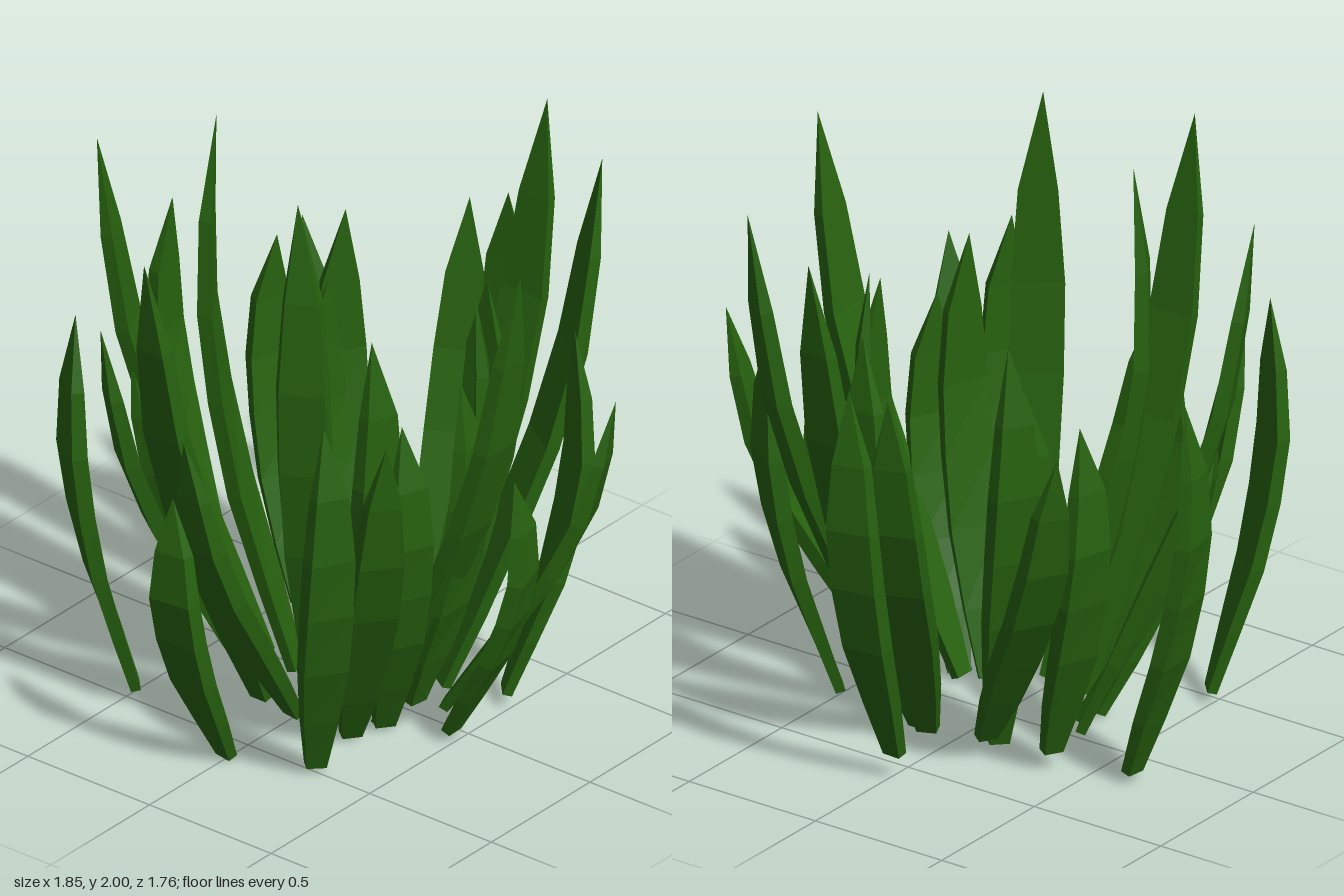
import * as THREE from 'three';

// Blade spines as [outward fraction, height fraction, width fraction]
const CURLED = [[0, 0, 0.42], [0.32, 0.15, 0.72], [0.69, 0.32, 0.95], [0.95, 0.49, 1], [1.11, 0.65, 0.97], [1.11, 0.82, 0.72], [1, 1, 0]];
const SPREAD = [[0, 0, 0.42], [0.2, 0.14, 0.75], [0.42, 0.3, 0.95], [0.64, 0.46, 1], [0.82, 0.64, 0.95], [0.92, 0.82, 0.7], [1, 1, 0]];

// Blade section as [across, outward]: a flat strip, slightly narrower on the outside
const SECTION = [[-0.5, -0.5], [0.5, -0.5], [0.43, 0.5], [-0.43, 0.5]];

const material = new THREE.MeshStandardMaterial({ color: 0x27620f, flatShading: true });

// Lofts the section along a spine from base to tip, turning it by twist on the way up
function makeBlade(name, spine, twist, [bx, bz, tx, tz, height, y0 = 0.02]) {
  const reach = Math.hypot(tx - bx, tz - bz);
  const dx = (tx - bx) / reach, dz = (tz - bz) / reach;
  const heading = Math.atan2(dz, dx);
  const width = 0.18, thickness = 0.05, n = SECTION.length, last = spine.length - 1;
  const path = spine.map(([u, v]) => [u * reach, y0 + v * (height - y0)]);
  const positions = [], index = [];

  for (let k = 0; k < last; k++) {
    const a = path[Math.max(k - 1, 0)], b = path[k + 1];
    const len = Math.hypot(b[0] - a[0], b[1] - a[1]);
    const tr = (b[0] - a[0]) / len, ty = (b[1] - a[1]) / len;
    const w = spine[k][2] * width, th = thickness * (0.4 + 0.6 * spine[k][2]);
    // Twisted blades also bow a little sideways
    const turn = twist * Math.min(1, spine[k][1] * 1.6), bow = turn * 0.08;
    const fx = Math.cos(heading + turn), fz = Math.sin(heading + turn);
    for (const [s, o] of SECTION) {
      const out = o * th * ty, side = s * w + bow;
      positions.push(
        bx + dx * path[k][0] + fx * out - fz * side,
        Math.max(0, path[k][1] - o * th * tr),
        bz + dz * path[k][0] + fz * out + fx * side
      );
    }
  }
  positions.push(tx, height, tz);

  const tip = last * n;
  for (let k = 0; k < last; k++) {
    for (let i = 0; i < n; i++) {
      const j = (i + 1) % n, a = k * n + i, b = k * n + j;
      if (k === last - 1) index.push(a, b, tip);
      else index.push(a, b, b + n, a, b + n, a + n);
    }
  }
  // Base cap
  index.push(0, 2, 1, 0, 3, 2);

  const geometry = new THREE.BufferGeometry();
  geometry.setAttribute('position', new THREE.Float32BufferAttribute(positions, 3));
  geometry.setIndex(index);
  const flat = geometry.toNonIndexed();
  flat.computeVertexNormals();
  const mesh = new THREE.Mesh(flat, material);
  mesh.name = name;
  return mesh;
}

// Each blade: base x, base z, tip x, tip z, height, base height
const OUTER = [
  [-0.64, -0.16, -0.87, -0.19, 1.4, 0.04],
  [-0.01, -0.59, 0, -0.82, 1.45, 0.09],
  [-0.01, 0.6, -0.05, 0.82, 1.03, 0.01],
  [-0.48, 0.48, -0.62, 0.61, 1.41, 0.04],
  [0.28, 0.5, 0.44, 0.66, 1.39, 0.03],
  [0.47, -0.23, 0.63, -0.38, 1.36, 0.05],
  [0.48, 0.06, 0.73, 0.05, 1.03, 0.04],
  [-0.38, -0.24, -0.57, -0.35, 1.3, 0.07]
];
const INNER = [
  [-0.17, 0.05, -0.43, 0.13, 2, 0.03],
  [0.08, 0.23, 0.14, 0.42, 2, 0.07],
  [-0.14, -0.2, -0.28, -0.34, 1.5],
  [-0.08, -0.13, -0.26, -0.23, 1.3],
  [0.21, -0.2, 0.26, -0.39, 1.41],
  [0.23, -0.07, 0.41, -0.15, 1.5],
  [0.17, 0.17, 0.33, 0.28, 1.5],
  [0.27, 0.14, 0.47, 0.3, 1.25],
  [0.34, 0.07, 0.55, 0.1, 1.35, 0.1]
];
const LEANING = [
  [-0.3, 0.03, -0.8, 0.28, 1.85],
  [-0.15, 0.25, -0.16, 0.83, 1.85],
  [0.25, -0.18, 0.54, -0.63, 1.85],
  [0.25, 0.13, 0.82, 0.13, 1.85],
  [0.14, -0.25, 0.16, -0.82, 1.85],
  [0.4, -0.01, 0.92, -0.23, 1.27, 0.07],
  [0.1, -0.26, -0.11, -0.76, 1.42],
  [-0.15, -0.28, -0.62, -0.54, 1.27, 0.07],
  [-0.26, 0.17, -0.55, 0.57, 1.36],
  [0, 0.27, -0.07, 0.74, 1.19],
  [0.23, 0.26, 0.61, 0.55, 1.33],
  [-0.24, 0.1, -0.66, 0.28, 1.1]
];

export function createModel() {
  const model = new THREE.Group();
  model.name = 'grassClump';
  const rings = [
    ['outerBlade', CURLED, -0.28, OUTER],
    ['innerBlade', CURLED, -0.28, INNER],
    ['leaningBlade', SPREAD, 0, LEANING]
  ];
  for (const [name, spine, twist, blades] of rings) {
    const ring = new THREE.Group();
    ring.name = name + 's';
    blades.forEach((blade, i) => ring.add(makeBlade(name + (i + 1), spine, twist, blade)));
    model.add(ring);
  }
  return model;
}
